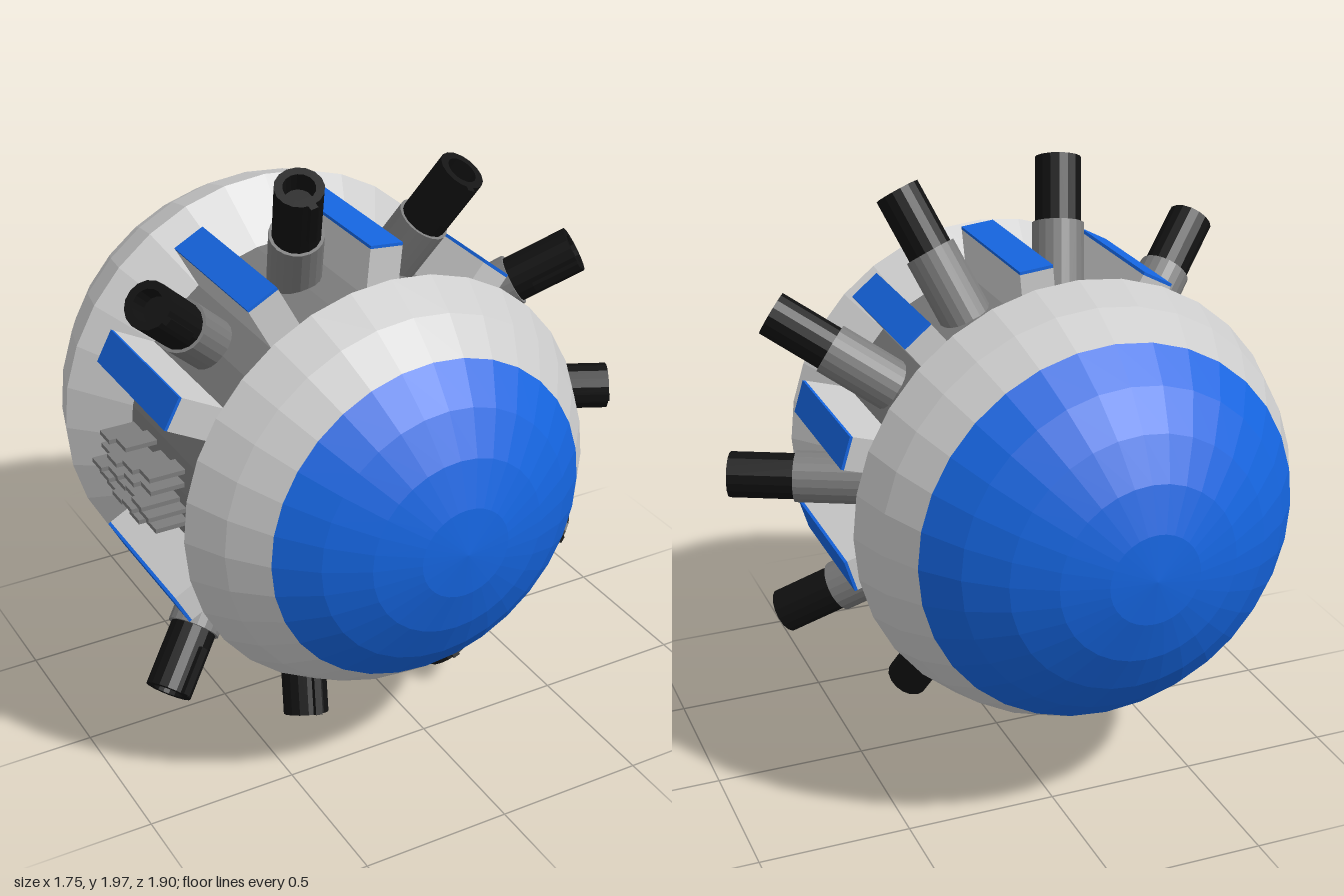
import * as THREE from 'three';

const mat = (color) => new THREE.MeshStandardMaterial({ color, flatShading: true });
const STEP = Math.PI / 16; // 32-sided body
const RADIUS = 0.757, OFFSET = 0.192, DRUM = 0.58;
const DRUM_FRONT = 0.33, DRUM_BACK = -0.18;

export function createModel() {
  const root = new THREE.Group();
  const core = new THREE.Group();
  core.name = 'body';
  core.position.set(-0.135, 1.01, 0);
  root.add(core);

  const pale = mat(0xcccccc), grey = mat(0x7c7c7c), black = mat(0x111111), blue = mat(0x1565e0);
  const add = (parent, name, geometry, material, x = 0, y = 0, z = 0) => {
    const mesh = new THREE.Mesh(geometry, material);
    mesh.name = name;
    mesh.position.set(x, y, z);
    parent.add(mesh);
    return mesh;
  };

  // Domes: tapered collar, pale band and coloured cap, all turned about z
  const ringPoint = (i) =>
    new THREE.Vector2(RADIUS * Math.sin(i * STEP), OFFSET + RADIUS * Math.cos(i * STEP));
  const dome = (name, side, rim, capRing, innerZ) => {
    const band = [new THREE.Vector2(DRUM, innerZ)];
    for (let i = rim; i >= capRing; i--) band.push(ringPoint(i));
    const cap = [];
    for (let i = capRing; i >= 0; i--) cap.push(ringPoint(i));
    const turn = (pts) => new THREE.LatheGeometry(pts, 32).rotateX(side * Math.PI / 2);
    add(core, name + 'Band', turn(band), pale);
    add(core, name + 'Cap', turn(cap), blue);
  };
  dome('frontDome', 1, 6, 4, DRUM_FRONT);
  dome('backDome', -1, 7, 5, -DRUM_BACK);

  // Central drum
  const drumLength = DRUM_FRONT - DRUM_BACK, drumZ = (DRUM_FRONT + DRUM_BACK) / 2;
  add(core, 'drum', new THREE.CylinderGeometry(DRUM, DRUM, drumLength, 32).rotateX(Math.PI / 2),
    grey, 0, 0, drumZ);

  // A spoke's local +x points outward from the drum
  const spoke = (name, angle) => {
    const group = new THREE.Group();
    group.name = name;
    group.rotation.z = angle;
    core.add(group);
    return group;
  };

  // Raised bars with coloured outer plates
  const barGeo = new THREE.BoxGeometry(0.19, 0.112, drumLength);
  const plateGeo = new THREE.BoxGeometry(0.01, 0.112, drumLength);
  for (let k = -5; k < 5; k++) {
    const bar = spoke('bar', (k + 0.5) * 3 * STEP);
    add(bar, 'barBlock', barGeo, pale, 0.637, 0, drumZ);
    add(bar, 'barPlate', plateGeo, blue, 0.737, 0, drumZ);
  }

  // Nozzles leaning forward between the bars
  const sleeveGeo = new THREE.CylinderGeometry(0.086, 0.086, 0.33, 20)
    .rotateZ(-Math.PI / 2).translate(0.05, 0, 0);
  const barrelProfile = [[0, 0.2], [0.076, 0.2], [0.076, 0.434], [0.05, 0.434], [0.045, 0.37], [0, 0.37]];
  const barrelGeo = new THREE.LatheGeometry(barrelProfile.map(([r, h]) => new THREE.Vector2(r, h)), 16)
    .rotateZ(-Math.PI / 2);
  const railGeo = new THREE.BoxGeometry(0.16, 0.025, 0.025);
  for (let k = -4; k <= 4; k++) {
    const nozzle = new THREE.Group();
    nozzle.name = 'nozzle';
    nozzle.position.set(DRUM, 0, 0.078);
    nozzle.rotation.y = -THREE.MathUtils.degToRad(26);
    spoke('nozzleMount', k * 3 * STEP).add(nozzle);
    add(nozzle, 'sleeve', sleeveGeo, grey);
    add(nozzle, 'barrel', barrelGeo, black);
    add(nozzle, 'rail', railGeo, black, 0.354, 0, 0.078);
  }

  // Staggered thin fins filling the gap on the right side
  const finGeo = new THREE.BoxGeometry(0.13, 0.015, 0.075);
  for (let row = 0; row < 5; row++) {
    for (let col = 0; col < 4; col++) {
      const reach = 0.635 + 0.012 * ((row + col * 2) % 3) - 0.01 * Math.abs(row - 2);
      const y = -0.13 + row * 0.046 + (col % 2) * 0.02;
      add(core, 'fin', finGeo, grey, -reach, y, -0.13 + col * 0.105);
    }
  }
  return root;
}
